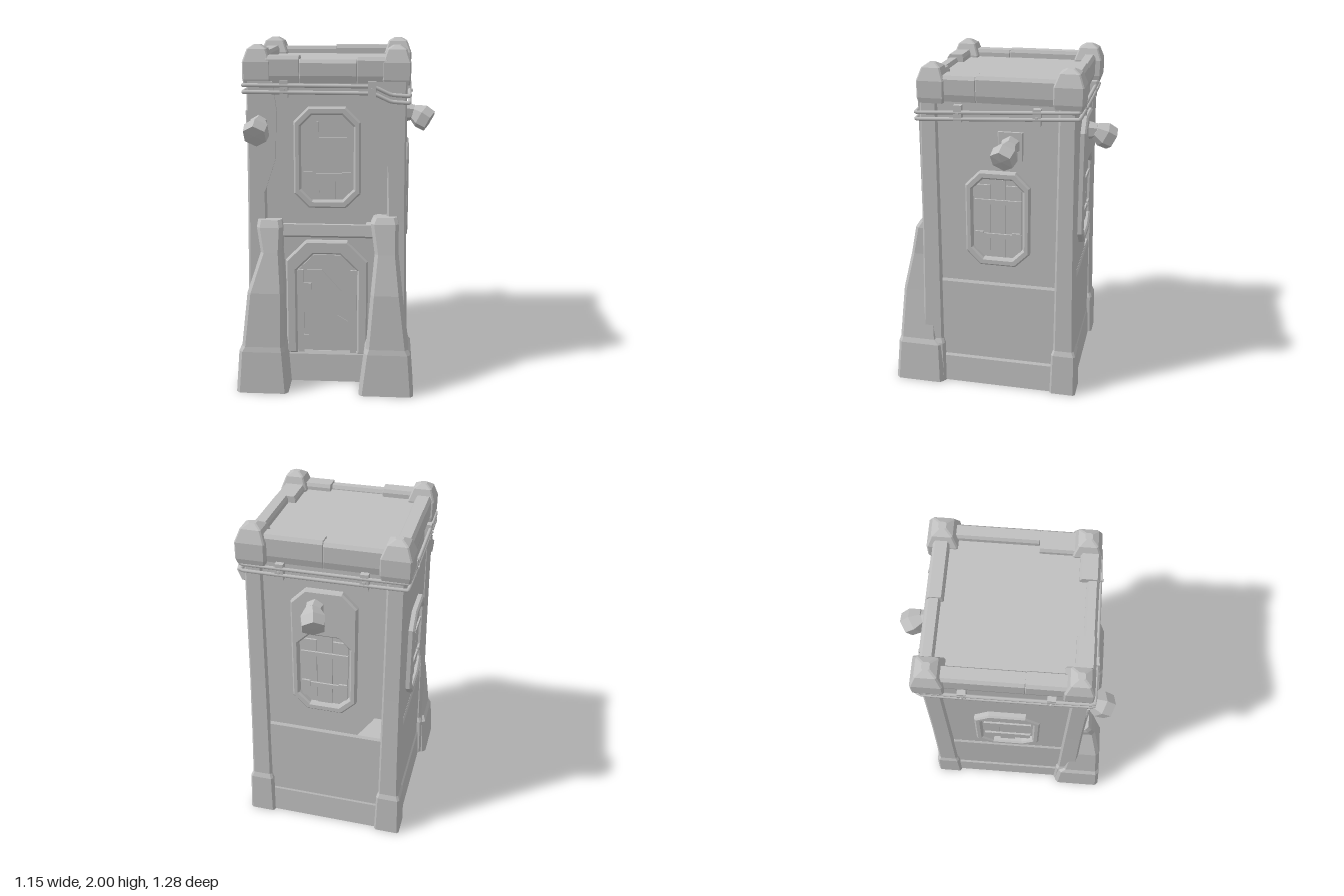
import * as THREE from 'three';

const CX = -0.055, CZ = -0.022; // centre of the tower shaft

export function createModel() {
  const stone = new THREE.MeshStandardMaterial({ color: 0xbfbfbf });
  stone.name = 'stoneGrey';
  const model = new THREE.Group();
  model.name = 'watchtower';

  const add = (parent, name, geo, x = 0, y = 0, z = 0) => {
    const m = new THREE.Mesh(geo, stone);
    m.name = name;
    m.position.set(x, y, z);
    parent.add(m);
    return m;
  };
  const flat = (g) => {
    const f = g.index ? g.toNonIndexed() : g;
    f.computeVertexNormals();
    return f;
  };
  const box = (w, h, d) => new THREE.BoxGeometry(w, h, d);

  // Solid from stacked rectangles [y, x0, x1, z0, z1] with chamfered corners
  const loft = (sections, chamfer = 0.012) => {
    const pos = [], idx = [], n = 8;
    for (const [y, x0, x1, z0, z1] of sections) {
      const c = Math.min(chamfer, (x1 - x0) / 3, (z1 - z0) / 3);
      const ring = [[x1, z0 + c], [x1, z1 - c], [x1 - c, z1], [x0 + c, z1],
        [x0, z1 - c], [x0, z0 + c], [x0 + c, z0], [x1 - c, z0]];
      for (const [x, z] of ring) pos.push(x, y, z);
    }
    const last = (sections.length - 1) * n;
    for (let i = 0; i < last; i += n) {
      for (let j = 0; j < n; j++) {
        const a = i + j, b = i + (j + 1) % n;
        idx.push(a, a + n, b, b, a + n, b + n);
      }
    }
    for (let j = 1; j < n - 1; j++) idx.push(0, j, j + 1, last, last + j + 1, last + j);
    const g = new THREE.BufferGeometry();
    g.setAttribute('position', new THREE.Float32BufferAttribute(pos, 3));
    g.setIndex(idx);
    return flat(g);
  };

  const shape = (pts) => new THREE.Shape(pts.map(([x, y]) => new THREE.Vector2(x, y)));
  // Flat panel from an outline, optionally with a hole and bevelled rim
  const panel = (pts, depth, hole, bevel = 0) => {
    const s = shape(pts);
    if (hole) s.holes.push(shape(hole));
    return new THREE.ExtrudeGeometry(s, {
      depth: depth - bevel, bevelEnabled: bevel > 0, bevelThickness: bevel,
      bevelSize: bevel, bevelOffset: -bevel, bevelSegments: 1,
    });
  };
  const octagon = (x0, x1, y0, y1, c) => [[x0 + c, y0], [x1 - c, y0], [x1, y0 + c], [x1, y1 - c],
    [x1 - c, y1], [x0 + c, y1], [x0, y1 - c], [x0, y0 + c]];
  const arch = (w, y0, y1, c) => [[-w, y0], [-w, y1 - c], [c - w, y1], [w - c, y1], [w, y1 - c], [w, y0]];

  // One group per side: local x runs along the wall, local z points outward
  const sides = ['frontSide', 'leftSide', 'backSide', 'rightSide'].map((name, i) => {
    const g = new THREE.Group();
    g.name = name;
    g.position.set(CX, 0, CZ);
    g.rotation.y = i * Math.PI / 2;
    model.add(g);
    return g;
  });
  const [front, plusX, back, minusX] = sides;

  // Plinth and roof slab
  add(model, 'plinth', loft([[0, CX - 0.47, CX + 0.47, CZ - 0.465, CZ + 0.465],
    [0.17, CX - 0.46, CX + 0.46, CZ - 0.455, CZ + 0.455],
    [0.19, CX - 0.445, CX + 0.445, CZ - 0.445, CZ + 0.445]]));
  add(model, 'roofSlab', box(0.84, 0.12, 0.84), CX, 1.835, CZ);

  // Corner posts with flared feet, and the faceted caps above them
  for (const sx of [-1, 1]) for (const sz of [-1, 1]) {
    const sections = [[0, 0.489, 0.33], [0.26, 0.482, 0.335], [0.29, 0.47, 0.345],
      [0.6, 0.463, 0.345], [1, 0.456, 0.345], [1.8, 0.448, 0.345]].map(([y, o, i]) => {
      const xs = [CX + sx * o, CX + sx * i].sort((a, b) => a - b);
      const zs = [CZ + sz * o, CZ + sz * i].sort((a, b) => a - b);
      return [y, ...xs, ...zs];
    });
    add(model, 'cornerPost', loft(sections, 0.012));
    const isBack = sz < 0, px = CX + sx * (isBack ? 0.397 : 0.39), pz = isBack ? -0.425 : 0.355;
    const size = isBack ? 1.06 : 0.98;
    const cap = [[1.78, 0.073], [1.81, 0.08], [1.905, 0.08], [1.975, 0.055], [1.998, 0.02]];
    add(model, 'cornerCap', loft(cap.map(([y, r]) => {
      const h = r * size;
      return [y, px - h, px + h, pz - h, pz + h];
    }), 0.008));
  }

  // Upper walls: front and back are broken away at one lower corner
  const upper = [[-0.36, 0.68], [0.36, 0.68], [0.36, 1.8], [-0.36, 1.8]];
  add(front, 'upperWall', panel([[-0.36, 0.95], [0.22, 0.95], [0.325, 1.47], [0.36, 1.5], [0.36, 1.8], [-0.36, 1.8]], 0.04), 0, 0, 0.4);
  add(back, 'upperWall', panel([[-0.36, 0.68], [0.19, 0.68], [0.29, 0.82], [0.36, 0.95], [0.36, 1.8], [-0.36, 1.8]], 0.04), 0, 0, 0.395);
  for (const s of [plusX, minusX]) add(s, 'upperWall', panel(upper, 0.04), 0, 0, 0.395);

  // Lower walls with a small ledge on top
  for (const s of [plusX, back, minusX]) {
    add(s, 'lowerWall', loft([[0.17, -0.36, 0.36, 0.4, 0.45], [0.68, -0.36, 0.36, 0.4, 0.445],
      [0.695, -0.36, 0.36, 0.4, 0.436]], 0.002));
  }
  add(front, 'lowerWall', box(0.72, 0.8, 0.04), 0, 0.57, 0.41);

  // Chipped render on the front posts
  add(front, 'chippedRender', panel([[-0.44, 1.0], [-0.35, 1.18], [-0.29, 1.36], [-0.28, 1.64], [-0.3, 1.8], [-0.44, 1.8]], 0.055), 0, 0, 0.4);
  add(front, 'chippedRender', panel([[0.44, 1.0], [0.36, 1.0], [0.35, 1.3], [0.33, 1.48], [0.32, 1.66], [0.26, 1.8], [0.44, 1.8]], 0.055), 0, 0, 0.4);

  // Framed window with plank shutters, cross bars and hinges
  const addWindow = (side, y0, y1, frameTop = y1) => {
    const g = new THREE.Group();
    g.name = 'window';
    g.position.set(0.005, 0, 0.43);
    side.add(g);
    add(g, 'windowFrame', panel(octagon(-0.19, 0.19, y0, frameTop, 0.085), 0.04,
      octagon(-0.15, 0.15, y0 + 0.045, y1 - 0.045, 0.065), 0.01));
    const h = y1 - y0 - 0.1, yc = (y0 + y1) / 2;
    for (const i of [-1, 0, 1]) {
      add(g, 'shutterPlank', box(0.088, h - (i ? 0.07 : 0), 0.014), i * 0.092, yc, 0.01);
    }
    for (const s of [-1, 1]) {
      add(g, 'crossBar', box(0.275, 0.028, 0.014), 0, yc + s * 0.105, 0.02);
      add(g, 'hinge', box(0.05, 0.04, 0.012), s * 0.11, yc - 0.1, 0.025);
    }
  };
  addWindow(front, 1.08, 1.66);
  addWindow(plusX, 0.82, 1.4);
  addWindow(minusX, 0.82, 1.4);
  addWindow(back, 0.86, 1.42, 1.66);

  // Door, its surround and the lintel ledge
  const door = new THREE.Group();
  door.name = 'door';
  door.position.z = 0.42;
  front.add(door);
  const surround = [...arch(0.24, 0.18, 0.88, 0.12), ...arch(0.178, 0.18, 0.8, 0.1).reverse()];
  add(door, 'doorSurround', panel(surround, 0.045, null, 0.01));
  add(door, 'doorLeaf', panel(arch(0.178, 0.18, 0.79, 0.1), 0.02));
  add(door, 'doorPost', box(0.035, 0.52, 0.02), -0.155, 0.44, 0.02);
  add(door, 'doorPost', box(0.035, 0.52, 0.02), 0.155, 0.44, 0.02);
  add(door, 'doorPlate', panel([[-0.13, 0.2], [0.125, 0.2], [0.125, 0.38], [0.06, 0.42], [0.085, 0.5], [0.085, 0.57], [-0.03, 0.7], [-0.13, 0.7]], 0.008), 0, 0, 0.02);
  add(door, 'doorHinge', box(0.045, 0.06, 0.012), -0.115, 0.59, 0.032);
  add(door, 'doorHinge', box(0.03, 0.03, 0.012), -0.125, 0.28, 0.032);
  add(front, 'lintelLedge', loft([[0.9, -0.26, 0.28, 0.39, 0.45], [0.915, -0.27, 0.29, 0.39, 0.47], [0.98, -0.27, 0.29, 0.39, 0.462]]));

  // Sloping front buttresses
  add(model, 'rightButtress', loft([[0, -0.575, -0.27, 0.32, 0.625], [0.25, -0.557, -0.29, 0.33, 0.607],
    [0.28, -0.54, -0.295, 0.36, 0.6], [0.6, -0.505, -0.295, 0.38, 0.575], [0.83, -0.43, -0.31, 0.38, 0.525],
    [0.97, -0.455, -0.305, 0.38, 0.492], [1.01, -0.45, -0.315, 0.39, 0.47]], 0.02));
  add(model, 'leftButtress', loft([[0, 0.14, 0.46, 0.32, 0.625], [0.25, 0.17, 0.44, 0.33, 0.607],
    [0.28, 0.18, 0.425, 0.36, 0.6], [0.6, 0.205, 0.385, 0.38, 0.575], [0.83, 0.225, 0.36, 0.38, 0.525],
    [1.0, 0.2, 0.36, 0.38, 0.492], [1.035, 0.215, 0.35, 0.39, 0.47]], 0.02));

  // Parapet beams per side: [start, end, top, thickness]
  const beams = [
    [front, [[-0.34, -0.15, 1.94, 0.105], [-0.15, 0.17, 1.92, 0.07], [0.17, 0.34, 1.935, 0.11]]],
    [plusX, [[-0.34, -0.12, 1.935, 0.13], [-0.12, 0.34, 1.94, 0.085]]],
    [back, [[-0.34, 0, 1.95, 0.09], [0, 0.34, 1.94, 0.075]]],
    [minusX, [[-0.34, 0.1, 1.945, 0.09], [0.1, 0.34, 1.94, 0.095]]],
  ];
  for (const [side, list] of beams) for (const [x0, x1, top, d] of list) {
    const z0 = 0.452 - d, z1 = 0.447 + d * 0.05;
    add(side, 'parapetBeam', loft([[1.79, x0, x1, z0, z1 - 0.01], [1.83, x0, x1, z0, z1],
      [top - 0.02, x0, x1, z0, z1], [top, x0, x1, z0 + 0.01, z1 - 0.015]], 0.004));
  }

  // Pair of cables running round the top, sagging at one corner
  const R = 0.464;
  for (const dy of [-0.019, 0.019]) {
    const pts = [[-R, 1.76, R], [0.26, 1.757, R], [0.36, 1.712, R], [R, 1.705, R],
      [R, 1.75, -R], [-R, 1.752, -R]].map(([x, y, z]) => new THREE.Vector3(CX + x, y + dy, CZ + z));
    const curve = new THREE.CatmullRomCurve3(pts, true, 'catmullrom', 0.02);
    add(model, 'cable', new THREE.TubeGeometry(curve, 180, 0.011, 6, true));
  }

  // Cable clamps
  [[front, [-0.235, 0.255], 1.757], [plusX, [-0.22, 0.23], 1.73],
    [back, [-0.24, 0.23], 1.75], [minusX, [-0.23, 0.24], 1.755]].forEach(([s, us, y]) => us.forEach((u) => {
    add(s, 'cableClamp', box(0.046, 0.095, 0.045), u, y, 0.452);
    add(s, 'clampBolt', flat(new THREE.CylinderGeometry(0.009, 0.009, 0.012, 6).rotateX(Math.PI / 2)), u, y, 0.478);
  }));

  // Angled spotlights: wall plate, tapered neck and faceted head
  const addLamp = (side, u, turn, reach) => {
    const g = new THREE.Group();
    g.name = 'lamp';
    g.position.set(u, 1.55, 0.435);
    side.add(g);
    add(g, 'lampPlate', loft([[-0.08, -0.07, 0.07, 0, 0.018], [0.085, -0.075, 0.07, 0, 0.018]], 0.005));
    const neck = new THREE.CylinderGeometry(0.044, 0.062, reach, 6).rotateX(Math.PI / 2);
    add(g, 'lampNeck', flat(neck), 0, 0.01, reach / 2);
    const head = new THREE.Group();
    head.name = 'lampHead';
    head.position.set(0, 0.005, reach);
    head.rotation.set(0.5, turn, 0, 'YXZ');
    g.add(head);
    const profile = [[0, -0.02], [0.046, -0.02], [0.076, 0.04], [0.07, 0.1], [0, 0.104]];
    const geo = new THREE.LatheGeometry(profile.map(([r, h]) => new THREE.Vector2(r, h)), 6);
    add(head, 'lampShade', flat(geo.rotateX(Math.PI / 2)));
  };
  addLamp(front, -0.38, -0.1, 0.04);
  addLamp(plusX, 0.08, -0.25, 0.075);
  addLamp(back, -0.04, 0.3, 0.085);

  return model;
}
